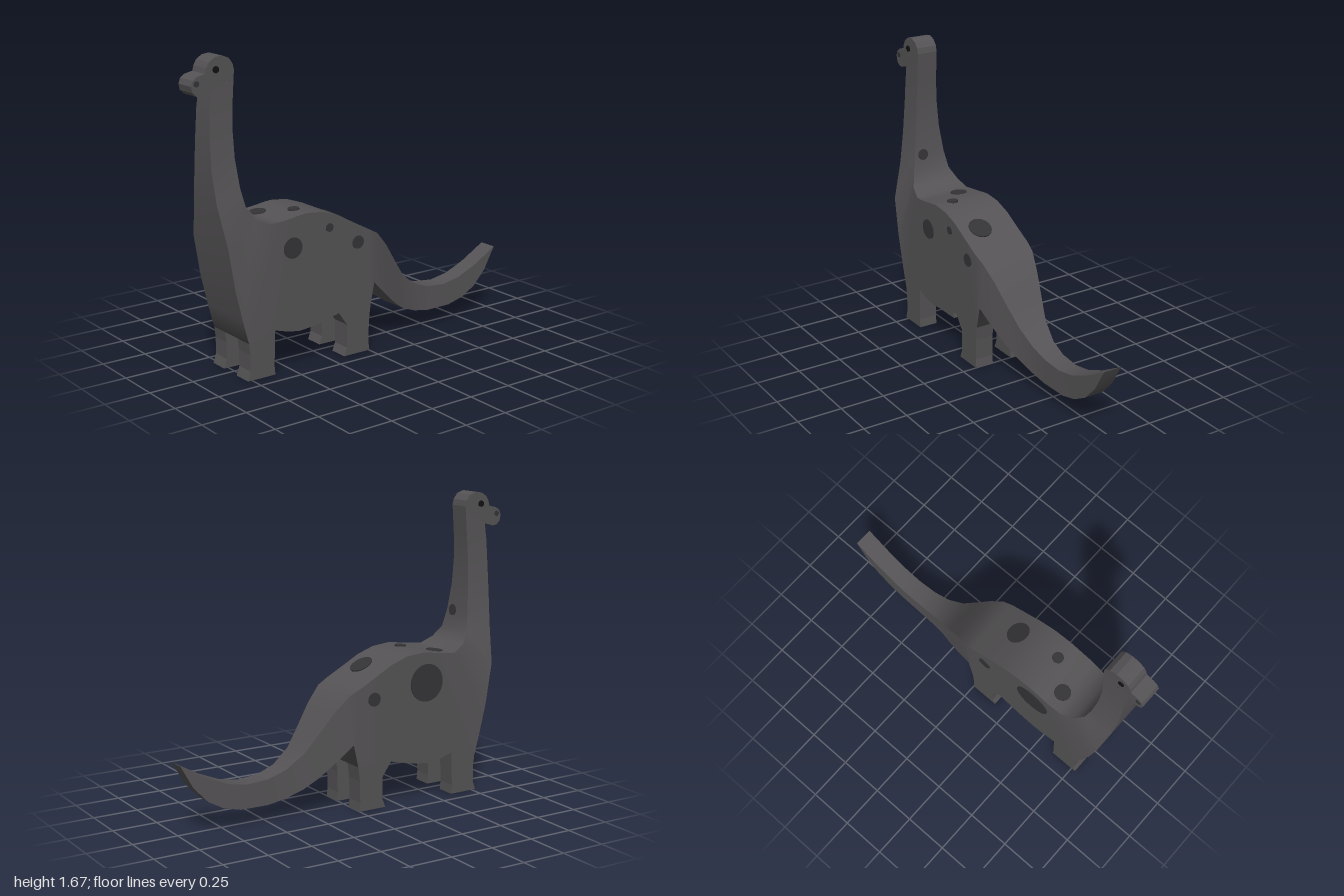
import * as THREE from 'three';

const skin = new THREE.MeshStandardMaterial({ color: 0x555355 });
const spotMat = new THREE.MeshStandardMaterial({ color: 0x343336 });
const eyeMat = new THREE.MeshStandardMaterial({ color: 0x111112 });

// Linear lookup in a list of [key, value] pairs
function lookup(table, k) {
  if (k <= table[0][0]) return table[0][1];
  for (let i = 1; i < table.length; i++) {
    const [k0, v0] = table[i - 1], [k1, v1] = table[i];
    if (k <= k1) return v0 + (v1 - v0) * (k - k0) / (k1 - k0);
  }
  return table[table.length - 1][1];
}

// Half thickness: narrows up the neck and along the tail
const neckWidth = [[0.6, 0.168], [0.8, 0.165], [0.84, 0.145], [0.9, 0.115], [1, 0.095],
  [1.15, 0.075], [1.35, 0.062], [1.5, 0.06]];
const tailWidth = [[0.03, 0.168], [0.1, 0.15], [0.2, 0.118], [0.3, 0.085], [0.4, 0.066],
  [0.5, 0.058], [0.65, 0.054], [1, 0.053]];
const halfWidth = (x, y) => (x < -0.6 ? lookup(neckWidth, y) : lookup(tailWidth, x));

// Sections from neck to tail tip: back point (x, y), belly point (x, y)
const sections = [
  [-0.758, 1.55, -0.89, 1.49], [-0.768, 1.42, -0.902, 1.4], [-0.774, 1.3, -0.908, 1.27],
  [-0.77, 1.15, -0.91, 1.1], [-0.755, 1, -0.9, 0.93], [-0.735, 0.9, -0.876, 0.72],
  [-0.69, 0.84, -0.84, 0.5], [-0.62, 0.805, -0.8, 0.33], [-0.56, 0.81, -0.765, 0.2],
  [-0.5, 0.817, -0.605, 0.24], [-0.45, 0.825, -0.52, 0.215], [-0.4, 0.83, -0.45, 0.205],
  [-0.3, 0.82, -0.35, 0.215], [-0.2, 0.785, -0.2, 0.25], [-0.1, 0.73, -0.1, 0.25],
  [0, 0.677, 0.01, 0.25], [0.06, 0.645, 0.037, 0.375], [0.14, 0.56, 0.14, 0.28],
  [0.22, 0.45, 0.22, 0.21], [0.3, 0.345, 0.3, 0.155], [0.4, 0.27, 0.4, 0.115],
  [0.5, 0.235, 0.5, 0.095], [0.62, 0.225, 0.66, 0.095], [0.73, 0.245, 0.76, 0.12],
  [0.85, 0.295, 0.85, 0.17], [0.93, 0.34, 0.93, 0.255], [1, 0.38, 1, 0.38],
];

// Four-sided loft, smooth along its length and sharp at the corners
function loftGeometry() {
  const corners = sections.map(([tx, ty, bx, by]) => {
    const t = halfWidth(tx, ty), b = halfWidth(bx, by);
    return [[tx, ty, t], [tx, ty, -t], [bx, by, -b], [bx, by, b]];
  });
  const pos = [], index = [];
  for (let side = 0; side < 4; side++) {
    const start = pos.length / 3;
    corners.forEach((c, i) => {
      pos.push(...c[side], ...c[(side + 1) % 4]);
      if (i === 0) return;
      const p0 = start + (i - 1) * 2, p1 = p0 + 2;
      index.push(p0, p1, p0 + 1, p0 + 1, p1, p1 + 1);
    });
  }
  const g = new THREE.BufferGeometry();
  g.setAttribute('position', new THREE.Float32BufferAttribute(pos, 3));
  g.setIndex(index);
  g.computeVertexNormals();
  return g;
}

// Flat slab from an outline, between two z values
function slab(name, shape, z0, z1) {
  const g = new THREE.ExtrudeGeometry(shape, { depth: z1 - z0, bevelEnabled: false, curveSegments: 8 });
  g.translate(0, 0, z0);
  const m = new THREE.Mesh(g, skin);
  m.name = name;
  return m;
}

const outline = (pts) => new THREE.Shape(pts.map(([x, y]) => new THREE.Vector2(x, y)));

// Thin disc lying on a surface with the given normal
function disc(name, r, position, normal, material) {
  const m = new THREE.Mesh(new THREE.CylinderGeometry(r, r, 0.012, 24), material);
  m.name = name;
  m.position.set(...position);
  m.quaternion.setFromUnitVectors(new THREE.Vector3(0, 1, 0), new THREE.Vector3(...normal).normalize());
  return m;
}

export function createModel() {
  const model = new THREE.Group();
  model.name = 'longNeckedDinosaur';

  // Neck, body and tail
  const body = new THREE.Mesh(loftGeometry(), skin);
  body.name = 'body';
  model.add(body);

  // Head with rounded crown and muzzle
  const head = outline([[-0.758, 1.55], [-0.755, 1.59], [-0.762, 1.622], [-0.785, 1.652],
    [-0.825, 1.667], [-0.865, 1.661], [-0.897, 1.64], [-0.913, 1.612], [-0.92, 1.585],
    [-0.965, 1.575], [-0.989, 1.558], [-1, 1.53], [-0.993, 1.498], [-0.972, 1.478],
    [-0.945, 1.474], [-0.89, 1.49]]);
  model.add(slab('head', head, -0.06, 0.06));

  // Legs, a pair at the front and a pair at the back
  const frontLeg = outline([[-0.765, 0.2], [-0.758, 0.14], [-0.758, 0.05], [-0.775, 0],
    [-0.607, 0], [-0.612, 0.05], [-0.605, 0.24]]);
  const backLeg = outline([[-0.2, 0.25], [-0.147, 0.175], [-0.147, 0.045], [-0.165, 0],
    [0.003, 0], [-0.003, 0.05], [0, 0.17], [0.01, 0.25]]);
  for (const [side, z0, z1] of [['Left', 0.06, 0.168], ['Right', -0.168, -0.06]]) {
    model.add(slab('frontLeg' + side, frontLeg, z0, z1));
    model.add(slab('backLeg' + side, backLeg, z0, z1));
  }

  // Eyes and nostrils
  for (const s of [1, -1]) {
    model.add(disc('eye', 0.017, [-0.86, 1.6, s * 0.06], [0, 0, s], eyeMat));
    model.add(disc('nostril', 0.015, [-0.97, 1.54, s * 0.057], [0, 0, s], spotMat));
  }

  // Spots on the flanks: x, y, radius, side
  for (const [x, y, r, s] of [[-0.49, 0.66, 0.056, 1], [-0.26, 0.73, 0.023, 1],
    [-0.075, 0.62, 0.036, 1], [-0.43, 0.66, 0.105, -1], [-0.09, 0.61, 0.038, -1]]) {
    model.add(disc('flankSpot', r, [x, y, s * 0.167], [0, 0, s], spotMat));
  }

  // Spots along the back: x, y, z, radius, normal
  for (const [x, y, z, r, nx, ny] of [[-0.55, 0.81, -0.068, 0.045, -0.1, 1],
    [-0.41, 0.829, 0.058, 0.031, -0.08, 1], [-0.145, 0.754, 0.045, 0.065, 0.52, 1],
    [-0.756, 1, 0.042, 0.031, 1, 0.13]]) {
    model.add(disc('backSpot', r, [x, y, z], [nx, ny, 0], spotMat));
  }
  return model;
}
